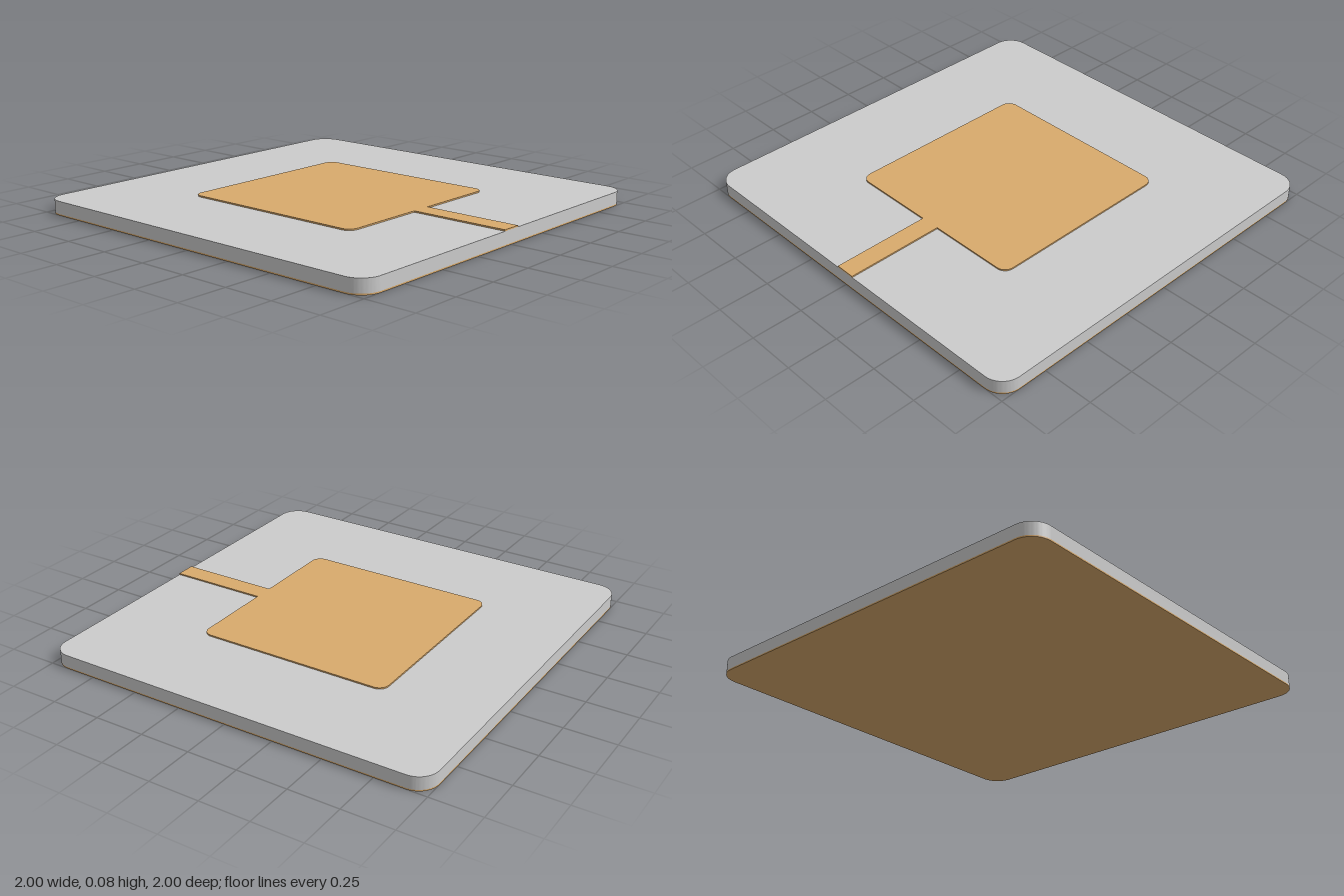
import * as THREE from 'three';
import { toCreasedNormals } from 'three/addons/utils/BufferGeometryUtils.js';

const grey = new THREE.MeshStandardMaterial({ color: 0xcccccc });
const copper = new THREE.MeshStandardMaterial({ color: 0xd9aa6c });

// Square outline with rounded corners; an optional feed strip leaves its +x side
function outline(half, radius, feedHalf = 0, feedEnd = half) {
  const s = new THREE.Shape();
  const c = half - radius;
  s.moveTo(-c, -half);
  s.lineTo(c, -half);
  s.absarc(c, -c, radius, -Math.PI / 2, 0);
  if (feedHalf > 0) {
    s.lineTo(half, -feedHalf);
    s.lineTo(feedEnd, -feedHalf);
    s.lineTo(feedEnd, feedHalf);
    s.lineTo(half, feedHalf);
  }
  s.absarc(c, c, radius, 0, Math.PI / 2);
  s.absarc(-c, c, radius, Math.PI / 2, Math.PI);
  s.absarc(-c, -c, radius, Math.PI, Math.PI * 1.5);
  return s;
}

// Flat layer lying between heights y0 and y1
function layer(name, shape, y0, y1, material) {
  const flat = new THREE.ExtrudeGeometry(shape, { depth: y1 - y0, bevelEnabled: false, curveSegments: 12 });
  flat.rotateX(-Math.PI / 2).translate(0, y0, 0);
  const mesh = new THREE.Mesh(toCreasedNormals(flat, Math.PI / 6), material);
  mesh.name = name;
  return mesh;
}

export function createModel() {
  const model = new THREE.Group();
  model.name = 'patchAntenna';
  model.add(
    layer('groundPlane', outline(1, 0.1), 0, 0.007, copper),
    layer('substrate', outline(1, 0.1), 0.007, 0.07, grey),
    // Square patch and its feed line in one sheet
    layer('patchWithFeedLine', outline(0.5, 0.05, 0.05, 1), 0.07, 0.077, copper),
  );
  return model;
}
